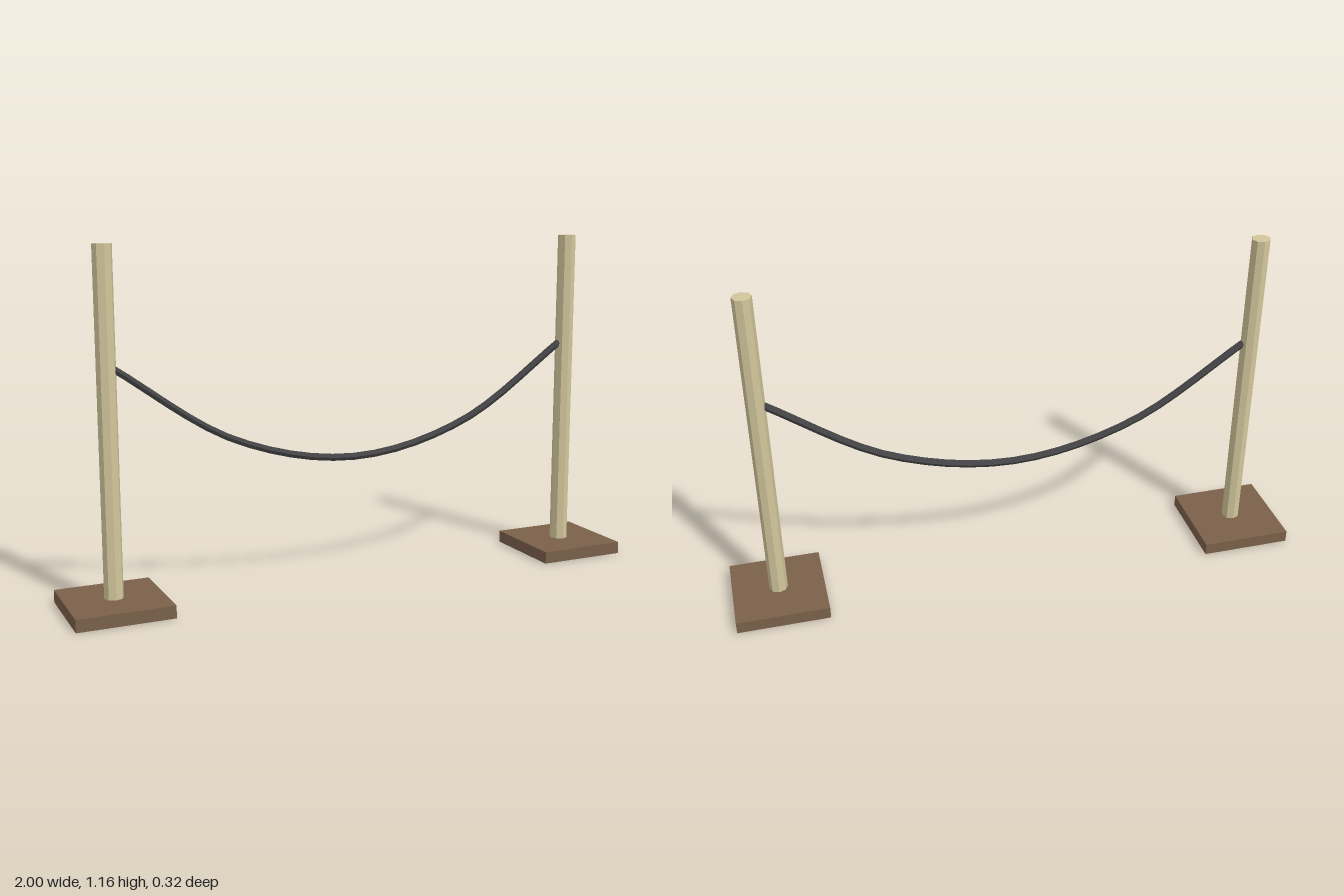
import * as THREE from 'three';

export function createModel() {
  const model = new THREE.Group();
  const mat = (color) => new THREE.MeshStandardMaterial({ color, flatShading: true });
  const wood = mat(0x7a604a), pale = mat(0xd2c69c), dark = mat(0x444446);

  const add = (name, geometry, material, x = 0, y = 0) => {
    const mesh = new THREE.Mesh(geometry, material);
    mesh.name = name;
    mesh.position.set(x, y, 0);
    model.add(mesh);
  };

  // Two posts, each on a square base; the post runs down through the base
  const postX = 0.842, baseSize = 0.316, baseH = 0.042, postH = 1.16;
  for (const [side, s] of [['left', 1], ['right', -1]]) {
    add(side + 'Base', new THREE.BoxGeometry(baseSize, baseH, baseSize), wood, s * postX, baseH / 2);
    add(side + 'Post', new THREE.CylinderGeometry(0.0316, 0.0316, postH, 8), pale, s * postX, postH / 2);
  }

  // Sagging rope between the post centres
  const points = [-1, -0.5, 0, 0.5, 1].map(
    (t) => new THREE.Vector3(t * postX, 0.425 + 0.365 * t * t, 0));
  add('rope', new THREE.TubeGeometry(new THREE.CatmullRomCurve3(points), 24, 0.0126, 6), dark);

  return model;
}
